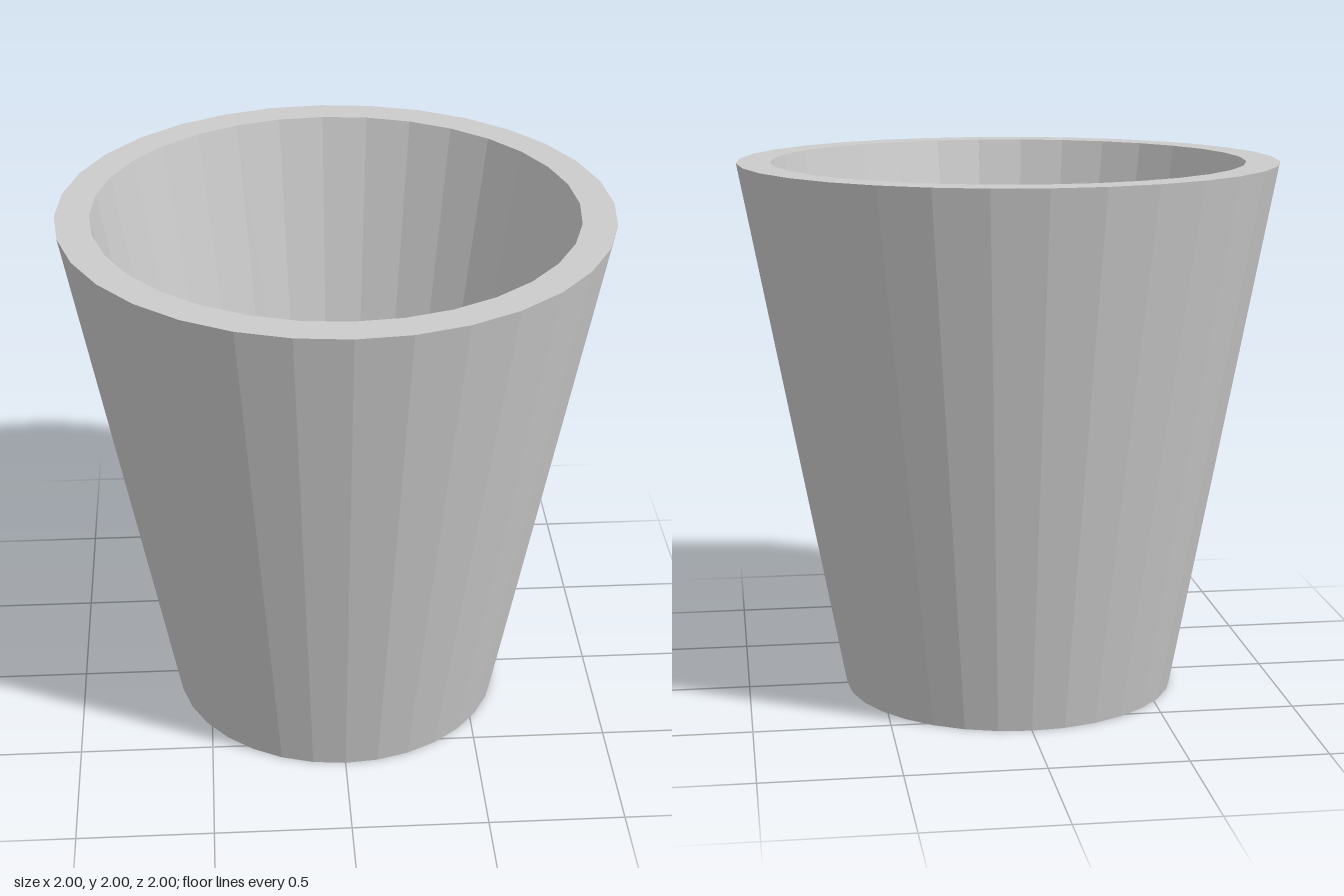
import * as THREE from 'three';

const SIDES = 32;

export function createModel() {
  const model = new THREE.Group();
  model.name = 'taperedCup';
  const material = new THREE.MeshStandardMaterial({ color: 0xcccccc, flatShading: true });

  // Profile [radius, height]: underside, outer wall, rim, inner wall, raised floor
  const profile = [
    [0, 0],
    [0.625, 0],
    [1, 2],
    [0.876, 2],
    [0.555, 0.28],
    [0, 0.28],
  ].map(([r, y]) => new THREE.Vector2(r, y));

  const cup = new THREE.Mesh(new THREE.LatheGeometry(profile, SIDES), material);
  cup.name = 'cupBody';
  model.add(cup);
  return model;
}
